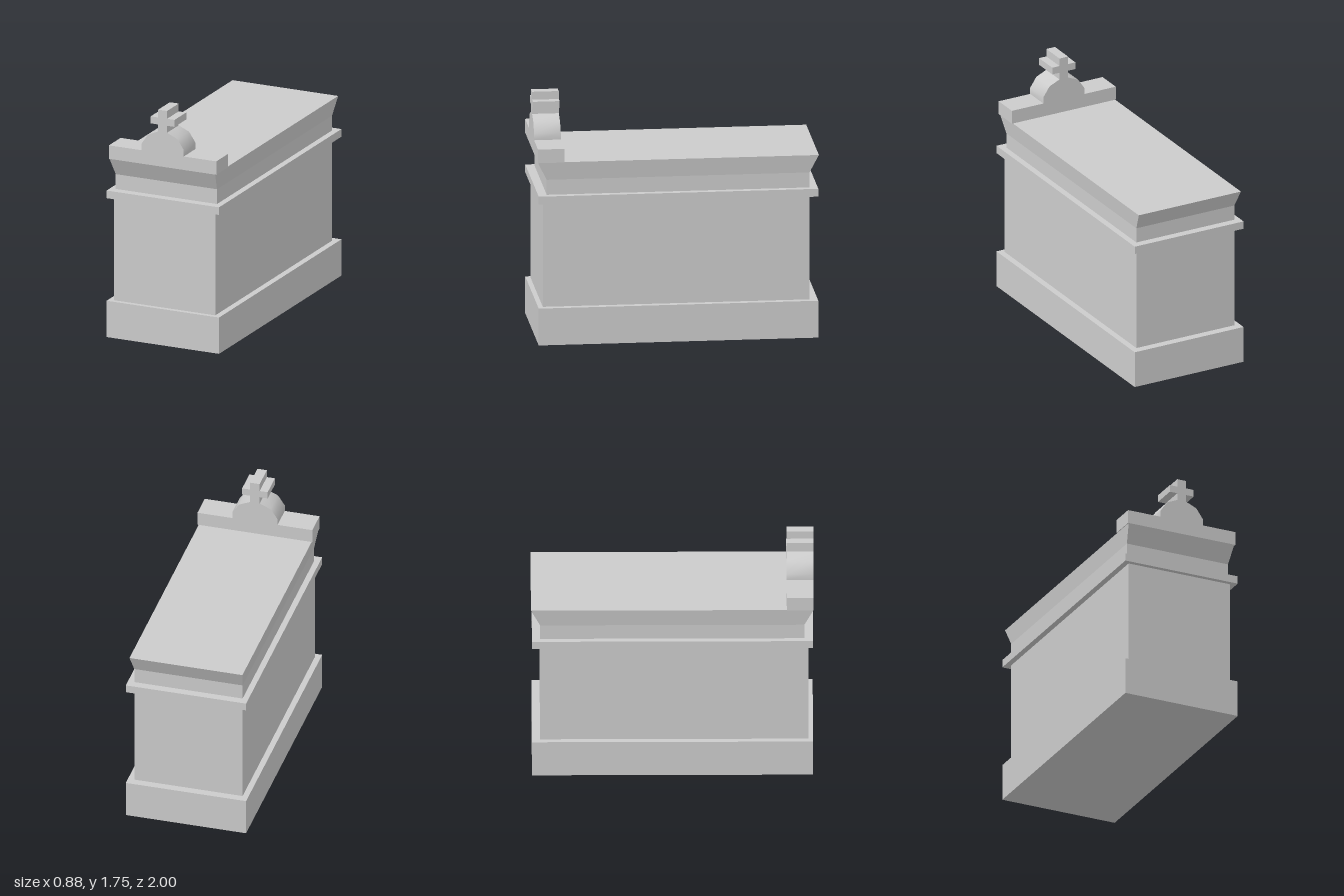
import * as THREE from 'three';
import { toCreasedNormals } from 'three/addons/utils/BufferGeometryUtils.js';

const material = new THREE.MeshStandardMaterial({ color: 0xcccccc });

// Block given by its extents; the top edge may spread outwards.
function block(name, [x0, x1], [y0, y1], [z0, z1], spreadX = 0, spreadZ = 0) {
  const geometry = new THREE.BoxGeometry(x1 - x0, y1 - y0, z1 - z0);
  const p = geometry.attributes.position;
  for (let i = 0; i < p.count; i++) {
    if (p.getY(i) > 0) {
      p.setX(i, p.getX(i) + Math.sign(p.getX(i)) * spreadX);
      p.setZ(i, p.getZ(i) + Math.sign(p.getZ(i)) * spreadZ);
    }
  }
  geometry.computeVertexNormals();
  const mesh = new THREE.Mesh(geometry, material);
  mesh.position.set((x0 + x1) / 2, (y0 + y1) / 2, (z0 + z1) / 2);
  mesh.name = name;
  return mesh;
}

// Headpiece: low slab, faceted arch and cross in one mirrored outline.
function headpiece() {
  const half = [
    [0.422, 1.33], [0.422, 1.43], [0.166, 1.43], [0.166, 1.478],
    [0.116, 1.552], [0.035, 1.588], [0.035, 1.64], [0.094, 1.64],
    [0.094, 1.692], [0.035, 1.692], [0.035, 1.75],
  ];
  const outline = [...half, ...half.map(([x, y]) => [-x, y]).reverse()];
  const shape = new THREE.Shape(outline.map(([x, y]) => new THREE.Vector2(x, y)));
  const geometry = new THREE.ExtrudeGeometry(shape, { depth: 0.19, bevelEnabled: false });
  const mesh = new THREE.Mesh(toCreasedNormals(geometry, Math.PI / 4), material);
  mesh.position.z = 0.81;
  mesh.name = 'crossHeadpiece';
  return mesh;
}

export function createModel() {
  const model = new THREE.Group();
  model.name = 'tomb';
  model.add(
    block('plinth', [-0.442, 0.442], [0, 0.27], [-0.993, 0.997]),
    block('body', [-0.4, 0.396], [0.27, 1.033], [-0.935, 0.963]),
    block('ledge', [-0.442, 0.442], [1.033, 1.09], [-0.993, 0.997]),
    block('neck', [-0.4, 0.396], [1.09, 1.2], [-0.935, 0.935]),
    block('flaredLid', [-0.4, 0.396], [1.2, 1.33], [-0.935, 0.935], 0.017, 0.065),
    headpiece(),
  );
  return model;
}
